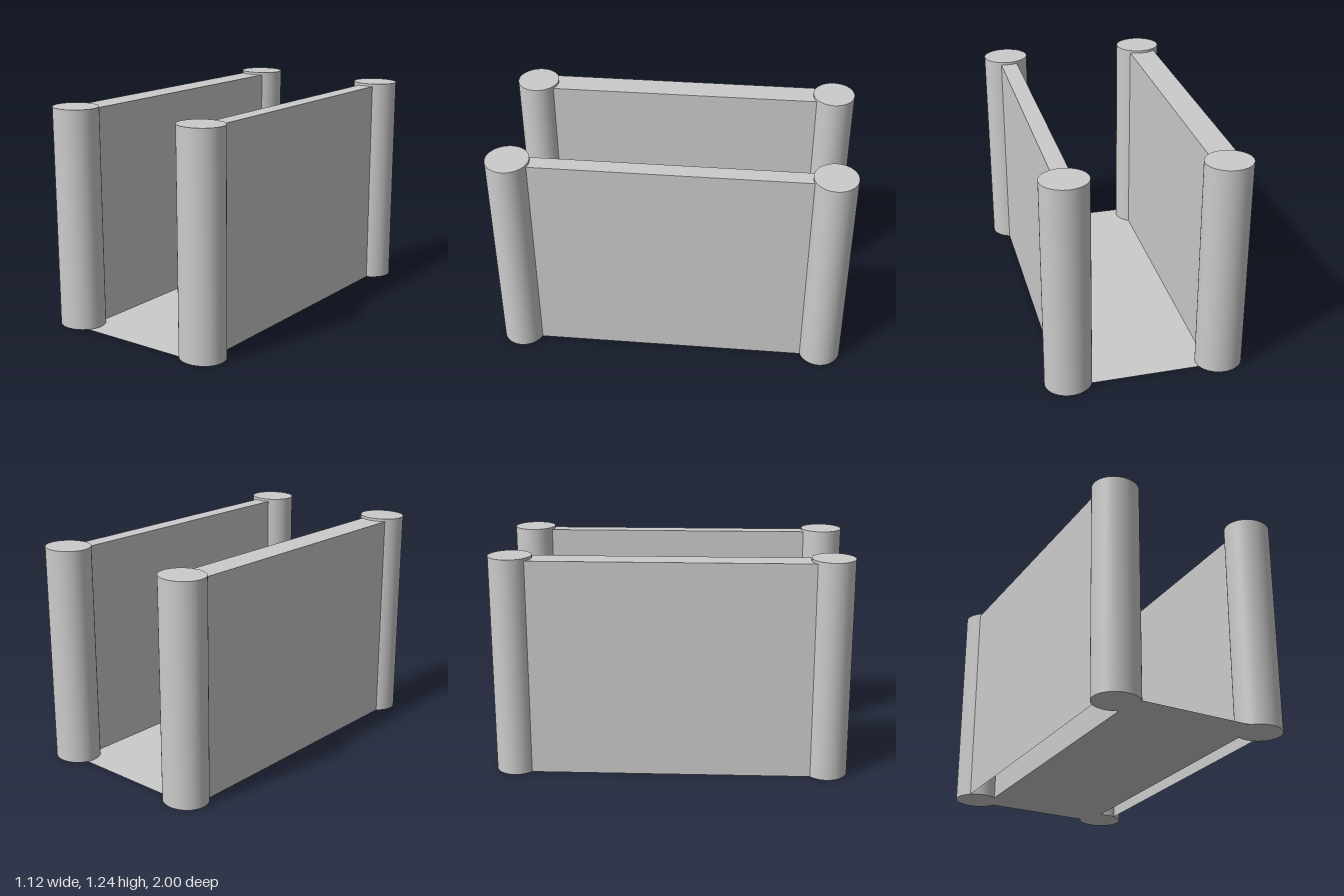
import * as THREE from 'three';

// Sheet swept along z from a cross-section of [x, y] points, with crisp folds
function foldedSheet(profile, zBack, zFront) {
  const positions = [];
  for (let i = 0; i < profile.length - 1; i++) {
    const [ax, ay] = profile[i];
    const [bx, by] = profile[i + 1];
    positions.push(
      ax, ay, zFront, bx, by, zFront, bx, by, zBack,
      ax, ay, zFront, bx, by, zBack, ax, ay, zBack
    );
  }
  const geometry = new THREE.BufferGeometry();
  geometry.setAttribute('position', new THREE.Float32BufferAttribute(positions, 3));
  geometry.computeVertexNormals();
  return geometry;
}

export function createModel() {
  const model = new THREE.Group();
  model.name = 'trough';

  const postMaterial = new THREE.MeshStandardMaterial({ color: 0xcccccc });
  const sheetMaterial = new THREE.MeshStandardMaterial({ color: 0xcccccc, side: THREE.DoubleSide });

  const postHeight = 1.24;
  const wallHeight = 1.225;
  const zBack = -0.92;
  const zFront = 0.95;

  function addSheet(name, profile) {
    const mesh = new THREE.Mesh(foldedSheet(profile, zBack, zFront), sheetMaterial);
    mesh.name = name;
    model.add(mesh);
  }

  // Hollow walls, open underneath, joined by a thin floor
  for (const [name, x0, x1] of [['rightWall', -0.515, -0.36], ['leftWall', 0.375, 0.472]]) {
    addSheet(name, [[x0, 0], [x0, wallHeight], [x1, wallHeight], [x1, 0]]);
  }
  addSheet('floor', [[-0.36, 0], [0.375, 0]]);

  // Slightly oval corner posts
  const postGeometry = new THREE.CylinderGeometry(1, 1, postHeight, 48);
  postGeometry.scale(0.131, 1, 0.12);
  for (const [side, x] of [['Right', -0.431], ['Left', 0.427]]) {
    for (const [end, z] of [['front', 0.878], ['back', -0.88]]) {
      const post = new THREE.Mesh(postGeometry, postMaterial);
      post.name = `${end}${side}Post`;
      post.position.set(x, postHeight / 2, z);
      model.add(post);
    }
  }

  return model;
}
